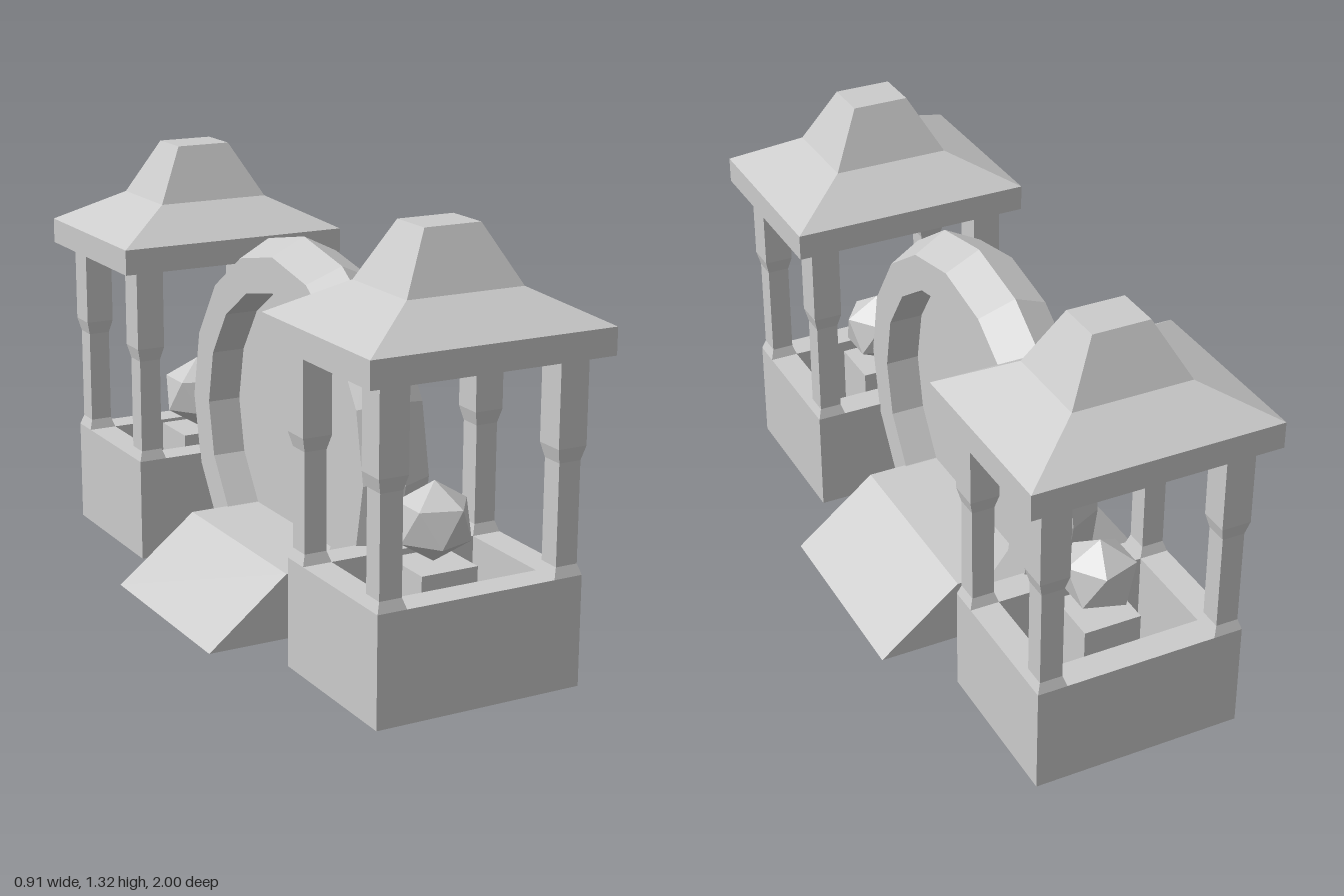
import * as THREE from 'three';
import { ConvexGeometry } from 'three/addons/geometries/ConvexGeometry.js';

const material = new THREE.MeshStandardMaterial({ color: 0xcccccc, flatShading: true });
const doubleSided = new THREE.MeshStandardMaterial({ color: 0xcccccc, flatShading: true, side: THREE.DoubleSide });

function addMesh(parent, name, geometry, x = 0, y = 0, z = 0, mat = material) {
  const mesh = new THREE.Mesh(geometry, mat);
  mesh.name = name;
  mesh.position.set(x, y, z);
  parent.add(mesh);
  return mesh;
}

// Closed solid from stacked rectangles, each [half width, half depth, height], bottom to top
function rectLoft(layers) {
  const positions = [], index = [];
  for (const [hx, hz, y] of layers) {
    positions.push(-hx, y, hz, hx, y, hz, hx, y, -hz, -hx, y, -hz);
  }
  for (let l = 0; l < layers.length - 1; l++) {
    for (let i = 0; i < 4; i++) {
      const a = l * 4 + i, b = l * 4 + (i + 1) % 4;
      index.push(a, b, b + 4, a, b + 4, a + 4);
    }
  }
  const t = (layers.length - 1) * 4;
  index.push(0, 2, 1, 0, 3, 2, t, t + 1, t + 2, t, t + 2, t + 3);
  const indexed = new THREE.BufferGeometry();
  indexed.setAttribute('position', new THREE.Float32BufferAttribute(positions, 3));
  indexed.setIndex(index);
  const geometry = indexed.toNonIndexed();
  geometry.computeVertexNormals();
  return geometry;
}

function rectPoints(hx, hz) {
  return [[-hx, -hz], [hx, -hz], [hx, hz], [-hx, hz]].map(([x, z]) => new THREE.Vector2(x, z));
}

// Twenty-sided gem standing on one point
function gemGeometry(r) {
  const points = [new THREE.Vector3(0, r, 0), new THREE.Vector3(0, -r, 0)];
  const ring = r * 2 / Math.sqrt(5), h = r / Math.sqrt(5);
  for (let i = 0; i < 5; i++) {
    const a = i * Math.PI * 2 / 5;
    points.push(new THREE.Vector3(ring * Math.cos(a), h, ring * Math.sin(a)));
    points.push(new THREE.Vector3(-ring * Math.cos(a), -h, ring * Math.sin(a)));
  }
  return new ConvexGeometry(points);
}

function createTower(name) {
  const tower = new THREE.Group();
  tower.name = name;
  const hx = 0.305, hz = 0.2375, post = 0.0425;

  // Open box base, as thick as the posts
  const outline = new THREE.Shape(rectPoints(hx, hz));
  outline.holes.push(new THREE.Path(rectPoints(hx - 2 * post, hz - 2 * post)));
  const base = new THREE.ExtrudeGeometry(outline, { depth: 0.31, bevelEnabled: false });
  base.rotateX(-Math.PI / 2);
  addMesh(tower, 'base', base, 0, 0.09, 0);

  // Corner posts with a slimmer lower shaft
  const postGeometry = rectLoft([
    [post, post, 0.4], [0.0325, 0.0325, 0.43], [0.0325, 0.0325, 0.71],
    [post, post, 0.75], [post, post, 0.99],
  ]);
  for (const sx of [-1, 1]) {
    for (const sz of [-1, 1]) {
      addMesh(tower, 'post', postGeometry, sx * (hx - post), 0, sz * (hz - post));
    }
  }

  // Two-pitch roof
  addMesh(tower, 'roof', rectLoft([
    [0.357, 0.281, 0.99], [0.357, 0.281, 1.065], [0.172, 0.135, 1.16], [0.083, 0.066, 1.32],
  ]));

  // Pedestal and gem
  addMesh(tower, 'pedestal', new THREE.BoxGeometry(0.17, 0.29, 0.166), 0, 0.267, 0);
  addMesh(tower, 'gem', gemGeometry(0.111), 0, 0.526, 0);
  return tower;
}

export function createModel() {
  const model = new THREE.Group();
  model.name = 'gateway';

  // Upright ring with a ridged rim
  const profile = [[0.42, -0.102], [0.523, -0.102], [0.573, 0], [0.523, 0.102], [0.42, 0.102], [0.42, -0.102]];
  const ring = new THREE.LatheGeometry(profile.map(([r, y]) => new THREE.Vector2(r, y)), 16);
  ring.rotateZ(Math.PI / 2);
  addMesh(model, 'ring', ring.toNonIndexed(), 0, 0.578, 0);

  // Thin panel filling the ring
  const panel = new THREE.CircleGeometry(0.42, 16);
  panel.rotateY(Math.PI / 2);
  addMesh(model, 'panel', panel, 0, 0.578, 0, doubleSided);

  // Double ramp through the ring
  addMesh(model, 'ramp', rectLoft([[0.455, 0.303, 0.09], [0.217, 0.303, 0.28]]));

  // Front and back towers
  for (const [name, z] of [['frontTower', 0.718], ['backTower', -0.718]]) {
    const tower = createTower(name);
    tower.position.z = z;
    model.add(tower);
  }
  return model;
}
